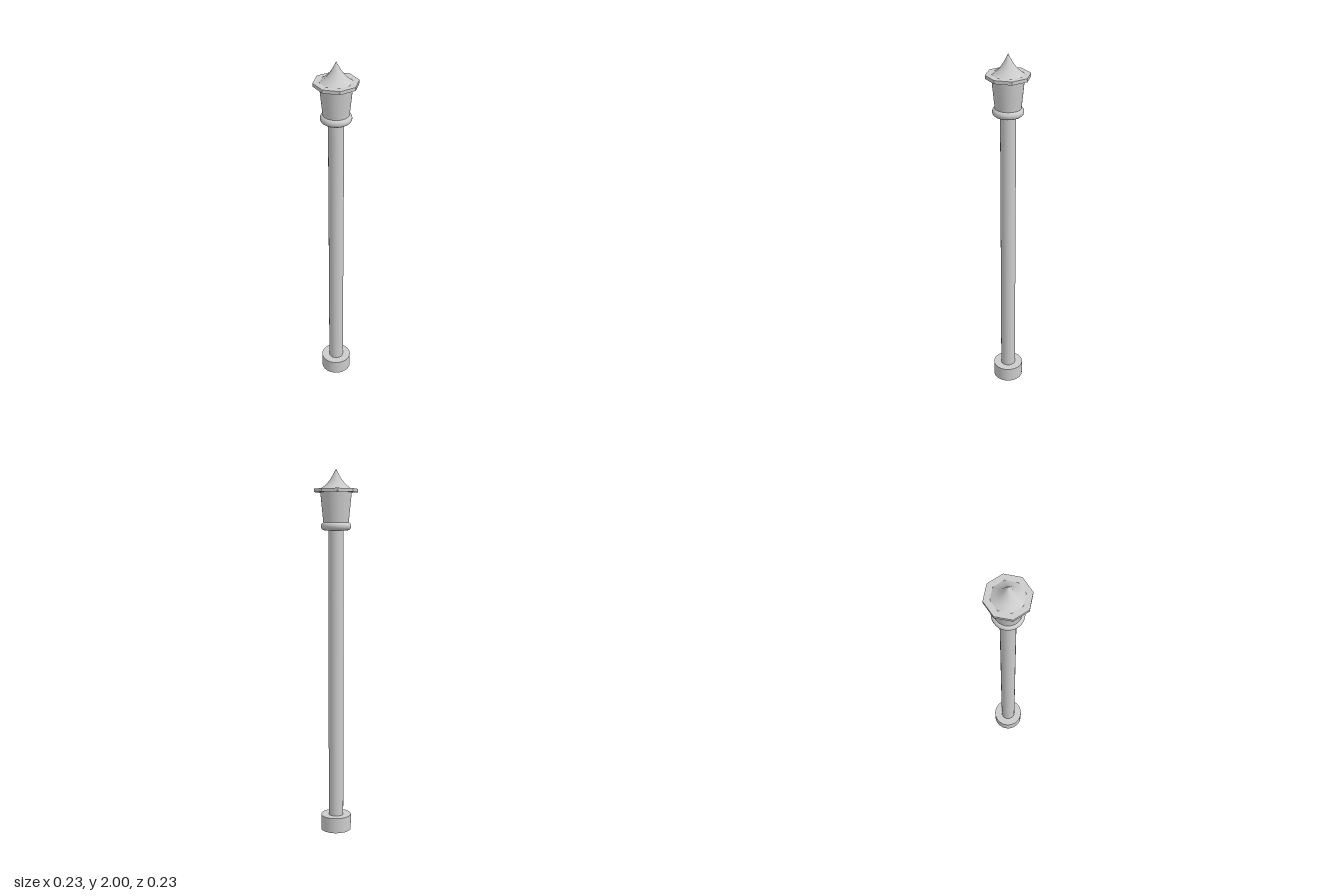
import * as THREE from 'three';

export function createModel() {
  const group = new THREE.Group();
  group.name = 'lampPost';
  const material = new THREE.MeshStandardMaterial({ color: 0xcccccc });

  function add(name, geometry, y = 0) {
    const mesh = new THREE.Mesh(geometry, material);
    mesh.name = name;
    mesh.position.y = y;
    group.add(mesh);
    return mesh;
  }

  // Upright cylinder or taper between two heights
  function column(name, bottomRadius, topRadius, y0, y1, sides = 32) {
    const geometry = new THREE.CylinderGeometry(topRadius, bottomRadius, y1 - y0, sides);
    return add(name, geometry, (y0 + y1) / 2);
  }

  // Foot, post and tapered lantern
  column('base', 0.084, 0.084, 0, 0.085);
  column('post', 0.041, 0.041, 0.085, 1.69);
  column('lantern', 0.068, 0.085, 1.71, 1.88);

  // Collar with a rounded rim and flat ends
  const collar = [new THREE.Vector2(0, -0.022)];
  for (let i = 0; i <= 12; i++) {
    const a = -Math.PI / 2 + (Math.PI * i) / 12;
    collar.push(new THREE.Vector2(0.06 + 0.022 * Math.cos(a), 0.022 * Math.sin(a)));
  }
  collar.push(new THREE.Vector2(0, 0.022));
  add('collar', new THREE.LatheGeometry(collar, 32), 1.697);

  // Octagonal eave with flat sides
  const eave = new THREE.CylinderGeometry(0.117, 0.117, 0.018, 8).toNonIndexed();
  eave.computeVertexNormals();
  add('eave', eave, 1.886);

  // Octagonal roof sweeping up to a point, smooth shaded
  const sweep = new THREE.SplineCurve([
    new THREE.Vector2(0.088, 1.892),
    new THREE.Vector2(0.053, 1.919),
    new THREE.Vector2(0.026, 1.953),
    new THREE.Vector2(0, 2),
  ]);
  add('roof', new THREE.LatheGeometry(sweep.getPoints(12), 8));

  return group;
}
